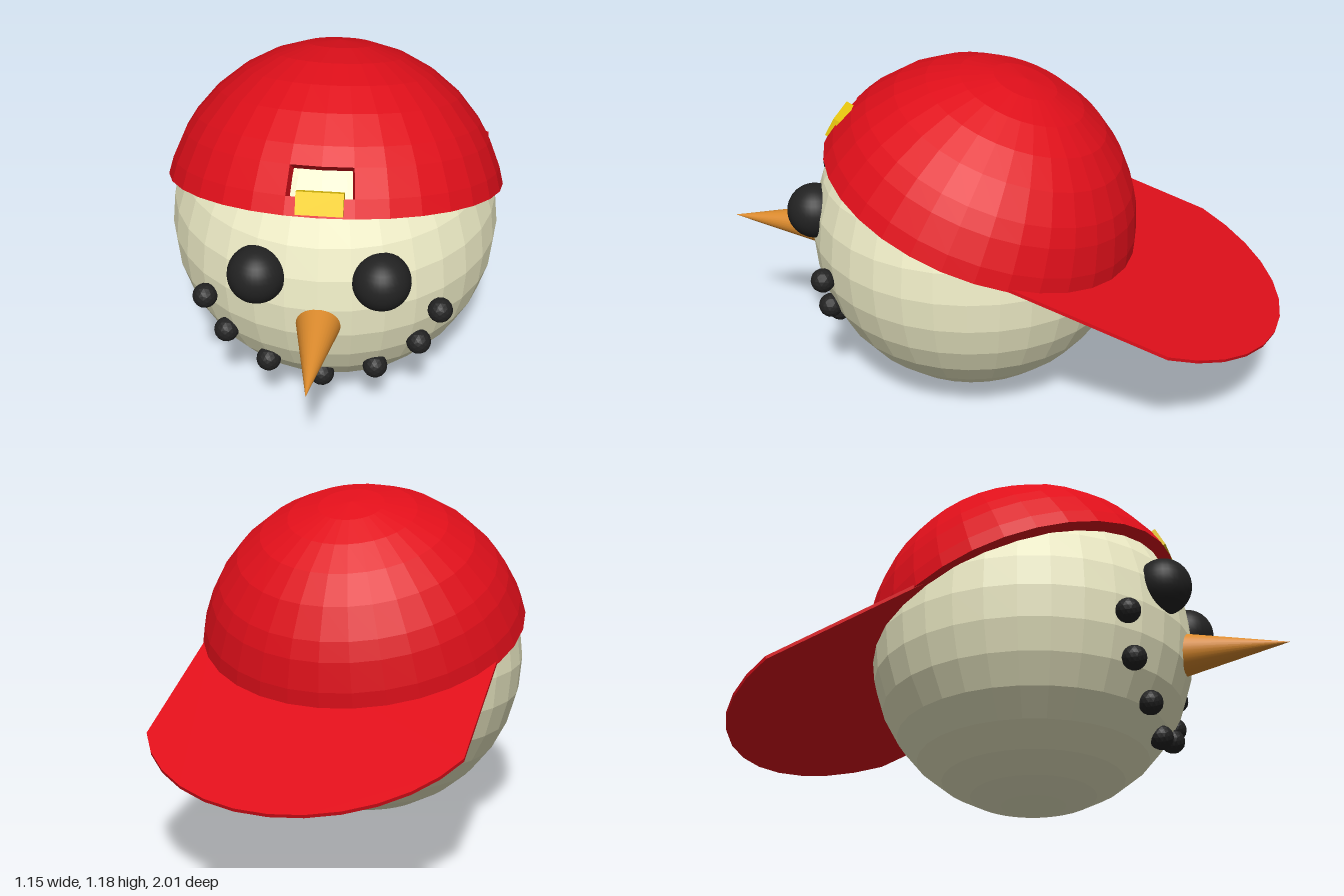
import * as THREE from 'three';

const rad = THREE.MathUtils.degToRad;
const paint = (color, extra = {}) => {
  const m = new THREE.MeshStandardMaterial({ color });
  return Object.assign(m, extra);
};

const CAP_R = 0.588, CAP_INNER = 0.54, COLS = 32;

// Faceted cap shell: rows from crown to rim, with a two-column opening at the front
function capGeometry() {
  const rows = [0, 11.25, 22.5, 33.75, 45, 56.25, 62.9, 72.7, 78.75];
  const rim = rows.length - 1, holeRow = 6;
  const pos = [];
  const pt = (r, i, j) => {
    const t = rad(rows[i]), p = (j / COLS) * Math.PI * 2;
    return [r * Math.sin(t) * Math.sin(p), r * Math.cos(t), r * Math.sin(t) * Math.cos(p)];
  };
  const quad = (a, b, c, d) => pos.push(...a, ...b, ...c, ...a, ...c, ...d);
  // Thickness wall along one edge of the shell
  const wall = (i0, j0, i1, j1) =>
    quad(pt(CAP_R, i0, j0), pt(CAP_INNER, i0, j0), pt(CAP_INNER, i1, j1), pt(CAP_R, i1, j1));

  for (let j = -1; j < COLS - 1; j++) {
    for (let i = 0; i < rim; i++) {
      if (i === holeRow && j < 1) continue;
      quad(pt(CAP_R, i, j), pt(CAP_R, i + 1, j), pt(CAP_R, i + 1, j + 1), pt(CAP_R, i, j + 1));
    }
    wall(rim, j, rim, j + 1);
  }
  for (const j of [-1, 0]) {
    wall(holeRow, j + 1, holeRow, j);
    wall(holeRow + 1, j, holeRow + 1, j + 1);
  }
  wall(holeRow, -1, holeRow + 1, -1);
  wall(holeRow + 1, 1, holeRow, 1);

  const g = new THREE.BufferGeometry();
  g.setAttribute('position', new THREE.Float32BufferAttribute(pos, 3));
  g.computeVertexNormals();
  return g;
}

// Thin bill: straight sides closed by a wide arc
function billGeometry() {
  const r = 0.57, offset = 0.565, half = rad(67.5);
  const shape = new THREE.Shape();
  shape.moveTo(r * Math.sin(half), 0.1);
  for (let k = 0; k <= 12; k++) {
    const a = half - (k / 12) * half * 2;
    shape.lineTo(r * Math.sin(a), offset + r * Math.cos(a));
  }
  shape.lineTo(-r * Math.sin(half), 0.1);
  const g = new THREE.ExtrudeGeometry(shape, { depth: 0.012, bevelEnabled: false });
  g.rotateX(-Math.PI / 2);
  return g;
}

export function createModel() {
  const group = new THREE.Group();
  const red = paint(0xe00f1a, { flatShading: true, side: THREE.DoubleSide });
  const black = paint(0x222222);
  const coal = paint(0x222222, { flatShading: true });

  const add = (name, geometry, material, x, y, z, parent = group) => {
    const mesh = new THREE.Mesh(geometry, material);
    mesh.name = name;
    mesh.position.set(x, y, z);
    parent.add(mesh);
    return mesh;
  };

  // Head
  add('head', new THREE.SphereGeometry(0.563, 32, 16),
    paint(0xf0eec8, { flatShading: true }), 0, 0.567, 0.1);

  // Cap worn backwards, tilted towards the back
  const cap = new THREE.Group();
  cap.name = 'cap';
  cap.position.set(0, 0.592, 0.105);
  cap.rotation.x = -rad(19.6);
  group.add(cap);
  add('capCrown', capGeometry(), red, 0, 0, 0, cap);
  add('capBill', billGeometry(), red, 0, 0.112, 0, cap);

  // Strap buckle under the cap opening
  const buckle = add('capBuckle', new THREE.BoxGeometry(0.152, 0.074, 0.045),
    paint(0xf2cf10), 0, 0.923, 0.571);
  buckle.rotation.x = -rad(28);

  // Eyes
  const eye = new THREE.SphereGeometry(0.096, 32, 16);
  for (const s of [1, -1]) add(s > 0 ? 'leftEye' : 'rightEye', eye, black, s * 0.201, 0.668, 0.617);

  // Carrot nose pointing forward
  const nose = new THREE.ConeGeometry(0.077, 0.37, 32);
  nose.rotateX(Math.PI / 2);
  add('nose', nose, paint(0xdb8a2c), 0, 0.502, 0.815);

  // Smile made of coal lumps
  const lump = new THREE.IcosahedronGeometry(0.042, 2);
  const smile = [[0.39, 0.502, 0.535], [0.323, 0.364, 0.535], [0.18, 0.263, 0.553]];
  for (const [x, y, z] of smile)
    for (const s of [1, -1]) add('mouthCoal', lump, coal, s * x, y, z);
  add('mouthCoal', lump, coal, 0, 0.21, 0.548);

  return group;
}
